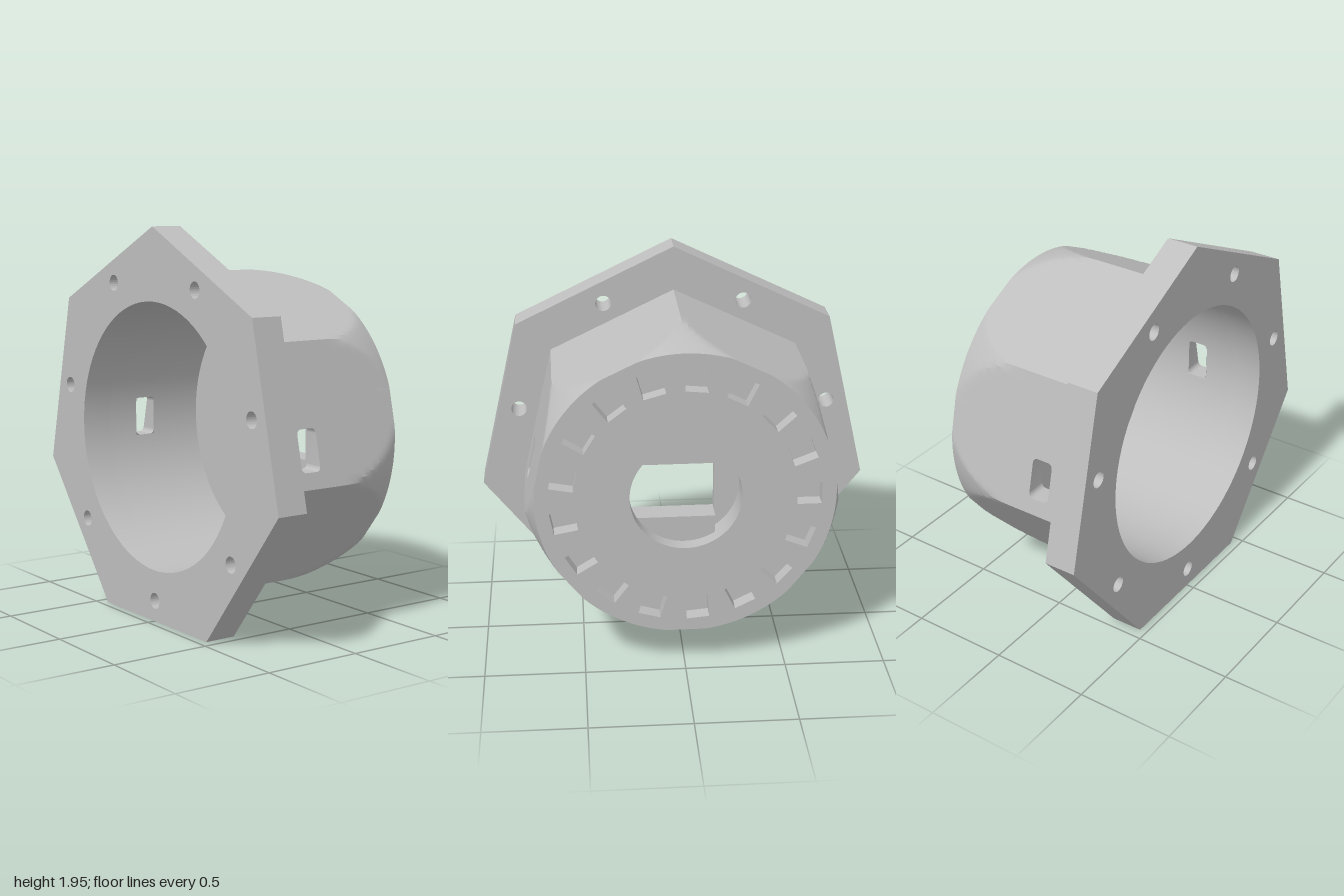
import * as THREE from 'three';
import { toCreasedNormals } from 'three/addons/utils/BufferGeometryUtils.js';

// Local frame: u (x) across, y up from the axis, w (z) along the axis.
const SIDES = 7, STEP = Math.PI * 2 / SIDES, AXIS_Y = 0.924;
const FLANGE_R = 1.026, BODY_R = 0.803, BORE_R = 0.665;
const W_BACK = -0.46, W_FLANGE = -0.30, W_ROUND = 0.08, W_FRONT = 0.46, W_FLOOR = 0.25;
const WIN = { w0: -0.14, w1: -0.03, h: 0.1 };

const corner = (r, k) => new THREE.Vector2(r * Math.sin(k * STEP), r * Math.cos(k * STEP));

// Heptagon radius at an angle measured from the top corner
function heptRadius(a) {
  const m = ((a % STEP) + STEP) % STEP - STEP / 2;
  return BODY_R * Math.cos(STEP / 2) / Math.cos(m);
}
// Turned profile that rounds the corners toward the front
const turned = w => BODY_R - 0.073 * Math.max(0, (w - W_ROUND) / (W_FRONT - W_ROUND)) ** 2;
const bodyPoint = (a, w) => {
  const r = Math.min(heptRadius(a), turned(w));
  return [r * Math.sin(a), r * Math.cos(a), w];
};

const circle = (x, y, r) => new THREE.Path().absarc(x, y, r, 0, Math.PI * 2, true);

function extrude(shape, w0, w1) {
  const g = new THREE.ExtrudeGeometry(shape, { depth: w1 - w0, bevelEnabled: false, curveSegments: 40 });
  g.translate(0, 0, w0);
  return toCreasedNormals(g, 0.4);
}

// Surface through rows of points
function loft(rows, crease = 0.4) {
  const pos = [], idx = [], n = rows[0].length;
  rows.forEach(row => row.forEach(p => pos.push(...p)));
  for (let i = 0; i < rows.length - 1; i++)
    for (let j = 0; j < n - 1; j++) {
      const a = i * n + j, b = a + 1, c = a + n, d = c + 1;
      idx.push(a, c, b, b, c, d);
    }
  const g = new THREE.BufferGeometry();
  g.setAttribute('position', new THREE.Float32BufferAttribute(pos, 3));
  g.setIndex(idx);
  return toCreasedNormals(g, crease);
}

// Rounded rectangle outline for the side windows, in (w, y)
function windowPath() {
  const { w0, w1, h } = WIN, r = 0.025, p = new THREE.Path();
  p.absarc(w1 - r, h - r, r, 0, Math.PI / 2);
  p.absarc(w0 + r, h - r, r, Math.PI / 2, Math.PI);
  p.absarc(w0 + r, -h + r, r, Math.PI, Math.PI * 1.5);
  p.absarc(w1 - r, -h + r, r, Math.PI * 1.5, Math.PI * 2);
  p.closePath();
  return p;
}

export function createModel() {
  const model = new THREE.Group();
  const housing = new THREE.Group();
  housing.name = 'housing';
  model.add(housing);
  const grey = new THREE.MeshStandardMaterial({ color: 0xbebebe, side: THREE.DoubleSide });
  grey.name = 'grey';
  const add = (name, geometry) => {
    const m = new THREE.Mesh(geometry, grey);
    m.name = name;
    housing.add(m);
  };

  // Seven-sided flange with a bolt hole at the middle of each edge
  const flange = new THREE.Shape([...Array(SIDES).keys()].map(k => corner(FLANGE_R, k)));
  flange.holes.push(circle(0, 0, BORE_R));
  for (let k = 0; k < SIDES; k++) {
    const c = corner(0.82, k + 0.5);
    flange.holes.push(circle(c.x, c.y, 0.04));
  }
  add('flange', extrude(flange, W_BACK, W_FLANGE));

  // Flat body sides; the two upright ones carry windows
  const c1 = corner(BODY_R, 1), c2 = corner(BODY_R, 2);
  const uAt = y => c1.x + (c2.x - c1.x) * (y - c1.y) / (c2.y - c1.y);
  for (let k = 0; k < SIDES; k++) {
    if (k !== 1 && k !== 5) {
      const a = corner(BODY_R, k), b = corner(BODY_R, k + 1);
      add('bodySide', loft([W_FLANGE, W_ROUND].map(w => [[a.x, a.y, w], [b.x, b.y, w]])));
      continue;
    }
    const s = k === 1 ? 1 : -1;
    const panel = new THREE.Shape([
      new THREE.Vector2(W_FLANGE, c2.y), new THREE.Vector2(W_ROUND, c2.y),
      new THREE.Vector2(W_ROUND, c1.y), new THREE.Vector2(W_FLANGE, c1.y)]);
    panel.holes.push(windowPath());
    const g = new THREE.ShapeGeometry(panel, 6);
    const p = g.attributes.position;
    for (let i = 0; i < p.count; i++) {
      const w = p.getX(i), y = p.getY(i);
      p.setXYZ(i, s * uAt(y), y, w);
    }
    if (s > 0) g.setIndex([...g.index.array].reverse());
    g.computeVertexNormals();
    add('windowSide', g);

    // Walls of the window, from the bore out to the flat side
    const ring = windowPath().getPoints(6);
    ring.push(ring[0].clone());
    const inner = ring.map(q => [s * Math.sqrt(BORE_R ** 2 - q.y ** 2), q.y, q.x]);
    const outer = ring.map(q => [s * uAt(q.y), q.y, q.x]);
    add('windowWall', loft(s > 0 ? [inner, outer] : [outer, inner], 0.6));
  }

  // Front of the body with its corners turned round
  const angles = [...Array(SIDES * 28 + 1).keys()].map(i => i * STEP / 28);
  const rows = [];
  for (let i = 0; i <= 18; i++) {
    const w = W_ROUND + (W_FRONT - W_ROUND) * i / 18;
    rows.push(angles.map(a => bodyPoint(a, w)));
  }
  add('roundedBody', loft(rows));

  // Smooth bore, left open at the windows
  const bore = (w0, w1, start, length) => {
    const g = new THREE.CylinderGeometry(BORE_R, BORE_R, w1 - w0, 96, 1, true, start, length);
    g.rotateX(Math.PI / 2).translate(0, 0, (w0 + w1) / 2);
    g.setIndex([...g.index.array].reverse());
    const n = g.attributes.normal;
    for (let i = 0; i < n.count; i++) n.setXYZ(i, -n.getX(i), -n.getY(i), -n.getZ(i));
    add('bore', g);
  };
  const gap = Math.asin(WIN.h / BORE_R);
  bore(W_FLANGE, WIN.w0, 0, Math.PI * 2);
  bore(WIN.w1, W_FLOOR, 0, Math.PI * 2);
  for (const start of [Math.PI / 2, Math.PI * 1.5])
    bore(WIN.w0, WIN.w1, start + gap, Math.PI - 2 * gap);

  // Front plate with a round opening and a ring of pockets
  const plate = new THREE.Shape(angles.slice(0, -1).map(a => {
    const [x, y] = bodyPoint(a, W_FRONT);
    return new THREE.Vector2(x, y);
  }));
  plate.holes.push(circle(0, 0, 0.272));
  const POCKETS = 17;
  for (let i = 0; i < POCKETS; i++) {
    const a = i * Math.PI * 2 / POCKETS, o = new THREE.Vector2();
    plate.holes.push(new THREE.Path([[0.54, -0.056], [0.54, 0.056], [0.66, 0.056], [0.66, -0.056]]
      .map(([x, y]) => new THREE.Vector2(x, y).rotateAround(o, a))));
  }
  add('frontPlate', extrude(plate, 0.38, W_FRONT));

  // Stepped layer behind the opening: a slot joined to a shallow recess
  const half = 0.14, end = 0.15, b = Math.acos(end / 0.272);
  const step = new THREE.Shape().absarc(0, 0, BORE_R + 0.01, 0, Math.PI * 2);
  const recess = new THREE.Path();
  recess.moveTo(-0.3, -half);
  recess.lineTo(end, -half);
  recess.absarc(0, 0, 0.272, -b, b);
  recess.lineTo(end, half);
  recess.lineTo(-0.3, half);
  recess.closePath();
  step.holes.push(recess);
  add('recessLayer', extrude(step, 0.31, 0.38));

  // Inner floor with the through slot
  const floor = new THREE.Shape().absarc(0, 0, BORE_R + 0.01, 0, Math.PI * 2);
  floor.holes.push(new THREE.Path([[-0.3, -half], [end, -half], [end, half], [-0.3, half]]
    .map(([x, y]) => new THREE.Vector2(x, y))));
  add('innerFloor', extrude(floor, W_FLOOR, 0.31));

  // Turn the axis to face +x, with its slight skew
  housing.rotation.y = Math.PI / 2 + 0.0065;
  housing.position.y = AXIS_Y;
  return model;
}
